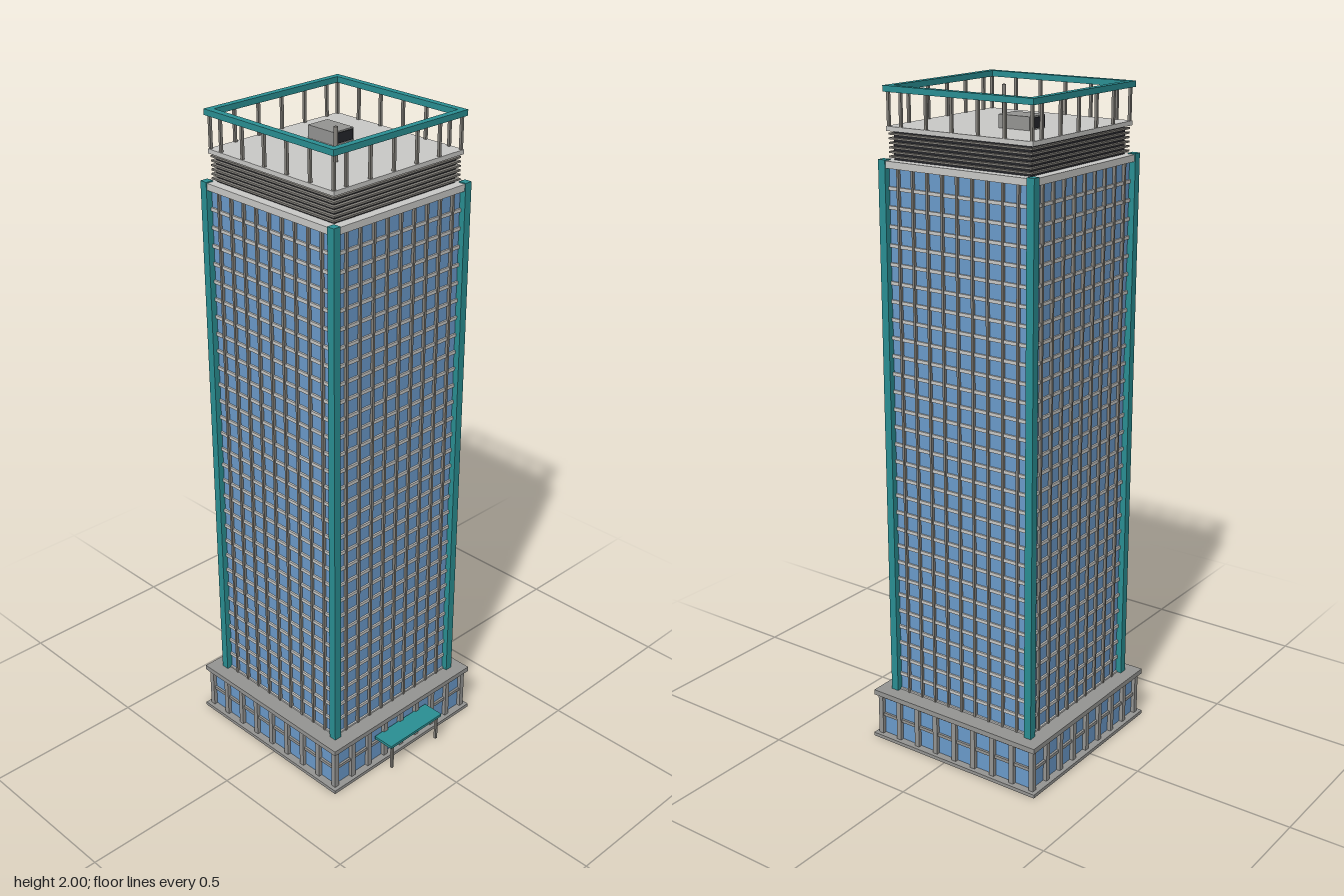
import * as THREE from 'three';

const mat = (name, color) => {
  const m = new THREE.MeshStandardMaterial({ color });
  m.name = name;
  return m;
};

export function createModel() {
  const glass = mat('blue glass', 0x6b9bcb);
  const pale = mat('pale concrete', 0xcacac8);
  const grey = mat('grey concrete', 0x959593);
  const teal = mat('teal metal', 0x2a9094);
  const steel = mat('mullion steel', 0x85827c);
  const dark = mat('dark grille', 0x25262b);

  const model = new THREE.Group();
  model.name = 'officeTower';
  const tower = new THREE.Group();
  tower.name = 'tower';
  tower.position.x = -0.027;
  model.add(tower);

  // Box from centre x/z, bottom y and top y
  const box = (parent, name, m, w, d, y0, y1, x = 0, z = 0) => {
    const mesh = new THREE.Mesh(new THREE.BoxGeometry(w, y1 - y0, d), m);
    mesh.position.set(x, (y0 + y1) / 2, z);
    mesh.name = name;
    parent.add(mesh);
    return mesh;
  };
  const square = (name, m, half, y0, y1) => box(tower, name, m, half * 2, half * 2, y0, y1);

  // Run a builder once for each facade, turned about the tower axis
  const facades = (name, build) => {
    for (let i = 0; i < 4; i++) {
      const side = new THREE.Group();
      side.name = name;
      side.rotation.y = i * Math.PI / 2;
      build(side);
      tower.add(side);
    }
  };

  // Podium
  square('plinth', grey, 0.304, 0, 0.011);
  square('podiumGlass', glass, 0.28, 0.011, 0.145);
  square('podiumTransom', grey, 0.287, 0.071, 0.081);
  square('podiumLintel', grey, 0.288, 0.134, 0.146);
  square('podiumCornice', grey, 0.301, 0.144, 0.16);
  facades('podiumColumns', side => {
    for (let i = 0; i < 8; i++) {
      box(side, 'podiumColumn', grey, 0.016, 0.016, 0.01, 0.145, -0.284 + i * 0.071, 0.284);
    }
  });

  // Glazed shaft with floor bands and mullions
  square('shaftGlass', glass, 0.243, 0.16, 1.78);
  const floors = 30;
  for (let i = 0; i < floors; i++) {
    const y = 0.16 + i * 0.0538;
    square('floorBand', pale, 0.2485, y - (i ? 0.005 : 0), y + 0.005);
  }
  facades('mullions', side => {
    for (let i = -4; i <= 4; i++) {
      box(side, 'mullion', steel, 0.007, 0.012, 0.16, 1.78, i * 0.0507, 0.246);
    }
  });
  square('shaftCornice', pale, 0.259, 1.777, 1.797);

  // Corner piers
  for (const x of [-1, 1]) {
    for (const z of [-1, 1]) {
      box(tower, 'cornerPier', teal, 0.024, 0.024, 0.16, 1.8, x * 0.25, z * 0.25);
    }
  }

  // Louvred plant storey and roof deck
  square('plantCore', dark, 0.23, 1.797, 1.88);
  for (let i = 0; i < 6; i++) {
    const y = 1.804 + i * 0.0125;
    square('louvre', steel, 0.24, y, y + 0.005);
  }
  square('roofDeck', pale, 0.245, 1.877, 1.89);

  // Crown: posts carrying a square ring
  facades('crownPosts', side => {
    for (let i = 0; i < 6; i++) {
      box(side, 'crownPost', steel, 0.008, 0.008, 1.89, 1.985, 0.239 - i * 0.087, 0.239);
    }
  });
  const outline = new THREE.Shape();
  outline.moveTo(-0.25, -0.25).lineTo(0.25, -0.25).lineTo(0.25, 0.25).lineTo(-0.25, 0.25).closePath();
  const hole = new THREE.Path();
  hole.moveTo(-0.23, -0.23).lineTo(-0.23, 0.23).lineTo(0.23, 0.23).lineTo(0.23, -0.23).closePath();
  outline.holes.push(hole);
  const ringGeometry = new THREE.ExtrudeGeometry(outline, { depth: 0.017, bevelEnabled: false });
  ringGeometry.rotateX(-Math.PI / 2);
  const ring = new THREE.Mesh(ringGeometry, teal);
  ring.name = 'crownRing';
  ring.position.y = 1.983;
  tower.add(ring);

  // Rooftop unit with end grilles, and mast
  box(model, 'rooftopUnit', grey, 0.102, 0.075, 1.89, 1.927, -0.102, -0.053);
  for (const s of [-1, 1]) {
    box(model, 'unitGrille', dark, 0.004, 0.066, 1.894, 1.923, -0.102 + s * 0.052, -0.053);
  }
  const mast = new THREE.Mesh(new THREE.CylinderGeometry(0.006, 0.006, 0.095, 12), steel);
  mast.name = 'mast';
  mast.position.set(0.05, 1.9375, 0.075);
  model.add(mast);

  // Entrance canopy on the left side
  box(model, 'canopy', teal, 0.07, 0.228, 0.095, 0.104, 0.294, 0);
  for (const z of [-0.1, 0.1]) {
    box(model, 'canopyPost', steel, 0.008, 0.008, 0.011, 0.096, 0.32, z);
  }
  return model;
}
